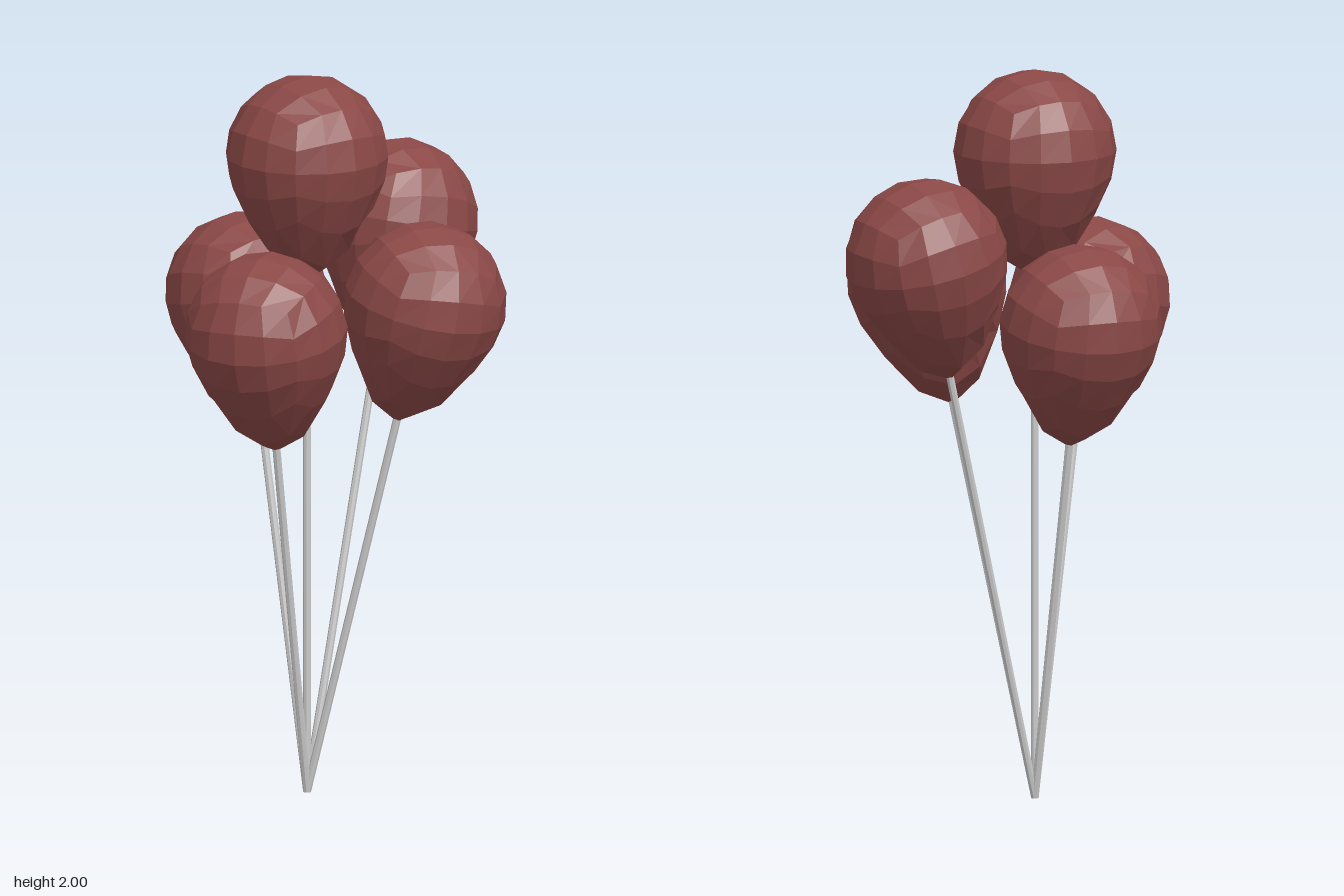
import * as THREE from 'three';
import { mergeVertices } from 'three/addons/utils/BufferGeometryUtils.js';

const RADIUS = 0.222;      // round part of a balloon
const TIP_DROP = 0.35;     // from balloon centre down to its tip
const STRING_RADIUS = 0.011;

// Cube rounded to a sphere, its underside drawn down to a point; origin at the tip
function balloonGeometry() {
  const box = new THREE.BoxGeometry(2, 2, 2, 4, 4, 4);
  box.deleteAttribute('normal');
  box.deleteAttribute('uv');
  const geometry = mergeVertices(box);
  const pos = geometry.attributes.position;
  const v = new THREE.Vector3();
  for (let i = 0; i < pos.count; i++) {
    // Tangent spacing keeps the facets even in angle
    v.fromBufferAttribute(pos, i);
    v.set(...v.toArray().map((c) => Math.tan((c * Math.PI) / 4))).normalize();
    const depth = Math.max(0, -v.y);
    v.multiplyScalar(RADIUS);
    v.y += TIP_DROP - (TIP_DROP - RADIUS) * depth ** 4;
    pos.setXYZ(i, v.x, v.y, v.z);
  }
  geometry.computeVertexNormals();
  return geometry;
}

export function createModel() {
  const group = new THREE.Group();
  group.name = 'balloonBunch';
  const rubber = new THREE.MeshStandardMaterial({ color: 0x8a4846, flatShading: true });
  const grey = new THREE.MeshStandardMaterial({ color: 0xcccccc, flatShading: true });
  const shape = balloonGeometry();
  const anchor = new THREE.Vector3(-0.01, 0.003, 0.075);
  const up = new THREE.Vector3(0, 1, 0);

  // Balloon centres, and the twist of each about its own string
  const balloons = [
    { name: 'top', centre: [-0.01, 1.78, 0.075], twist: 0 },
    { name: 'right', centre: [-0.285, 1.34, 0.075], twist: 0 },
    { name: 'left', centre: [0.283, 1.4, -0.105], twist: -0.26 },
    { name: 'front', centre: [0.105, 1.34, 0.3], twist: 0.52 },
    { name: 'back', centre: [-0.11, 1.525, -0.305], twist: 0 },
  ];

  for (const { name, centre, twist } of balloons) {
    const axis = new THREE.Vector3(...centre).sub(anchor);
    const length = axis.length() - TIP_DROP;

    // Each balloon stands on its string, leaning out from the shared anchor
    const stalk = new THREE.Group();
    stalk.name = name + 'BalloonOnString';
    stalk.position.copy(anchor);
    stalk.quaternion.setFromUnitVectors(up, axis.normalize());

    const balloon = new THREE.Mesh(shape, rubber);
    balloon.name = name + 'Balloon';
    balloon.position.y = length;
    balloon.rotation.y = twist;

    const stringLength = length + 0.02;
    const string = new THREE.Mesh(
      new THREE.CylinderGeometry(STRING_RADIUS, STRING_RADIUS, stringLength, 8), grey);
    string.name = name + 'String';
    string.position.y = stringLength / 2;

    stalk.add(balloon, string);
    group.add(stalk);
  }
  return group;
}
